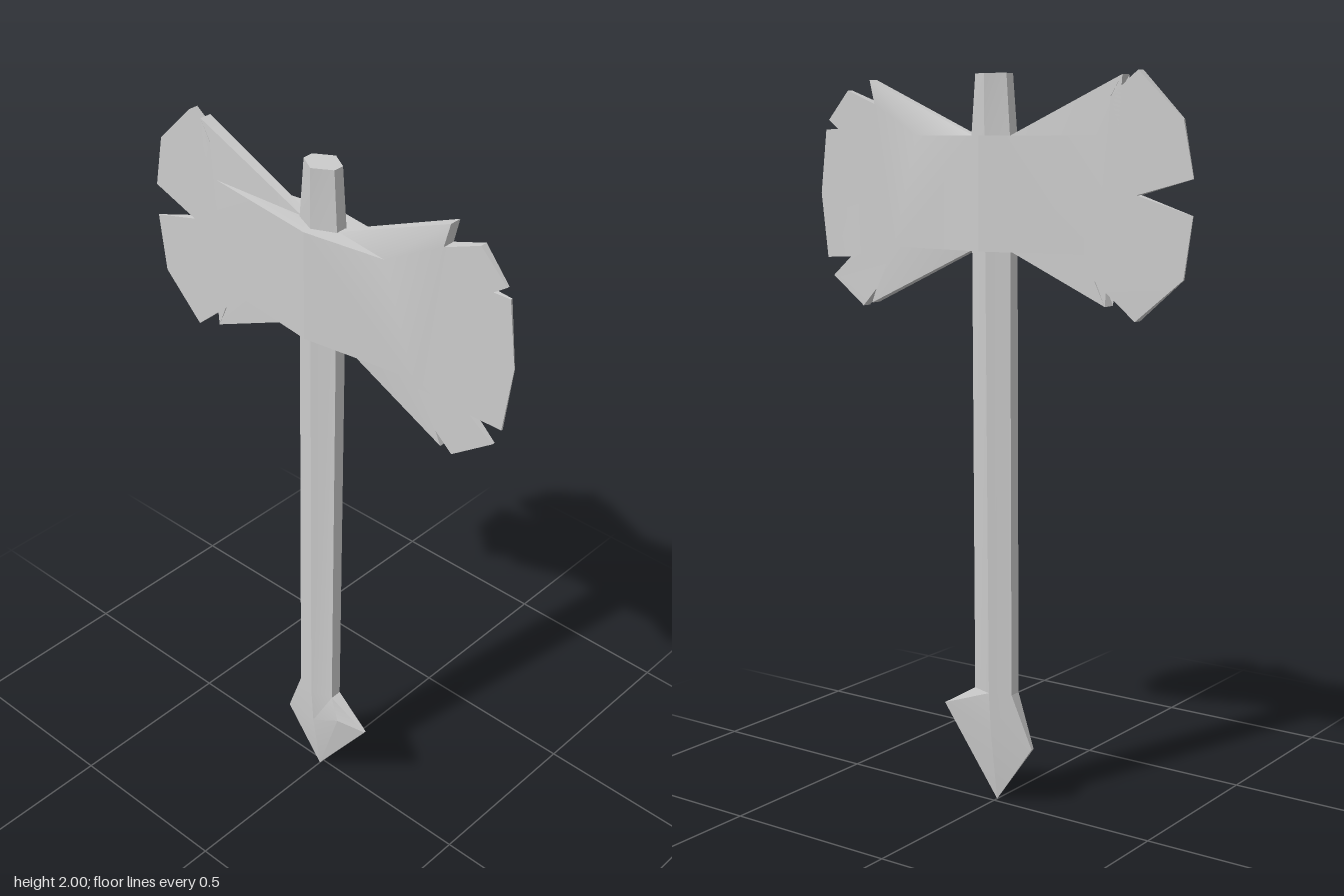
import * as THREE from 'three';
import { toCreasedNormals } from 'three/addons/utils/BufferGeometryUtils.js';

const TOP = 1.84, BOTTOM = 1.54;

function makeMesh(name, triangles, crease) {
  const geometry = new THREE.BufferGeometry();
  geometry.setAttribute('position', new THREE.Float32BufferAttribute(triangles.flat(2), 3));
  const mesh = new THREE.Mesh(
    toCreasedNormals(geometry, crease),
    new THREE.MeshStandardMaterial({ color: 0xcccccc, side: THREE.DoubleSide })
  );
  mesh.name = name;
  return mesh;
}

// Blade half-thickness: wedge from the centre ridge to the cutting edge
const thickness = (x) => (x < 0.35 ? 0.07 - 0.14 * x : 0.001 + 0.08 * (0.6 - x));

// One blade: edge runs from the upper wing tip to the lower one; side is +1 or -1
function makeBlade(name, side, edge, bandTop, bandBottom) {
  const tris = [];
  const add = (a, b, c, back = 1) => {
    const t = [a, b, c].map(([x, y, z]) => [x * side, y, z * back]);
    tris.push(side * back < 0 ? t.reverse() : t);
  };
  const at = ([x, y]) => [x, y, thickness(x)];
  const outline = [[0, BOTTOM], [0, TOP], [bandTop, TOP], ...edge, [bandBottom, BOTTOM]];
  const contour = outline.map(([x, y]) => new THREE.Vector2(x, y));
  const faces = THREE.ShapeUtils.triangulateShape(contour, []);
  const tips = [at(edge[0]), at(edge[edge.length - 1])];
  const roots = [[0.06, TOP, 0.012], [0.06, BOTTOM, 0.012]];

  for (const back of [1, -1]) {
    // Broad cheek
    for (const face of faces) {
      const [a, b, c] = face.map((i) => contour[i]);
      const area = (b.x - a.x) * (c.y - a.y) - (b.y - a.y) * (c.x - a.x);
      const p = face.map((i) => at(outline[i]));
      if (area < 0) p.reverse();
      add(...p, back);
    }
    // Sunken webs running from the band out to the wing tips
    [[TOP, bandTop], [BOTTOM, bandBottom]].forEach(([y, end], k) => {
      const A = at([0, y]), B = at([end, y]), T = tips[k], I = roots[k], C = [0, y, 0.012];
      for (const t of [[A, B, I], [B, T, I], [A, I, C]]) {
        if (k) t.reverse();
        add(...t, back);
      }
    });
  }
  // Thin rim joining both cheeks
  const rim = [roots[0], ...edge.map(at), roots[1]];
  const flip = ([x, y, z]) => [x, y, -z];
  for (let i = 0; i < rim.length - 1; i++) {
    const a = rim[i], b = rim[i + 1];
    add(a, b, flip(b));
    add(a, flip(b), flip(a));
  }
  return makeMesh(name, tris, 0.45);
}

// Handle cross-section: flattened hexagon, with one doubled corner for the barb notch
function section(y, w, depth, flat, zc) {
  return [
    [w, y, zc + flat], [w, y, zc + flat], [0, y, zc + depth], [-w, y, zc + flat],
    [-w, y, zc - flat], [0, y, zc - depth], [w, y, zc - flat]
  ];
}

function makeHandle() {
  const rings = [
    section(2, 0.05, 0.045, 0.015, 0),
    section(TOP, 0.062, 0.045, 0.017, 0.001),
    section(0.32, 0.062, 0.038, 0.017, 0.013),
    // Spearhead shoulders, with the barb on the left
    [
      [0.18, 0.25, 0.018], [0.09, 0.25, 0.036], [0, 0.2, 0.043], [-0.12, 0.17, 0.02],
      [-0.12, 0.17, 0.01], [0, 0.2, -0.015], [0.18, 0.25, 0.012]
    ],
    Array(7).fill([0, 0, 0.015])
  ];
  const tris = [];
  for (let r = 0; r < rings.length - 1; r++) {
    const a = rings[r], b = rings[r + 1];
    for (let i = 0; i < 7; i++) {
      const j = (i + 1) % 7;
      tris.push([a[i], a[j], b[j]], [a[i], b[j], b[i]]);
    }
  }
  for (let i = 1; i < 6; i++) tris.push([rings[0][0], rings[0][i + 1], rings[0][i]]);
  return makeMesh('handle', tris, 0.3);
}

export function createModel() {
  const group = new THREE.Group();
  group.name = 'doubleAxe';
  group.add(makeHandle());

  // Left blade: chipped corners around one long edge
  group.add(makeBlade('leftBlade', 1, [
    [0.407, 1.99], [0.39, 1.925], [0.49, 1.963], [0.566, 1.883], [0.53, 1.858],
    [0.577, 1.857], [0.6, 1.68], [0.577, 1.5], [0.487, 1.505], [0.555, 1.45],
    [0.44, 1.37], [0.39, 1.42], [0.407, 1.38]
  ], 0.23, 0.32));

  // Right blade: split by a deep notch
  group.add(makeBlade('rightBlade', -1, [
    [0.402, 1.99], [0.37, 1.937], [0.445, 2], [0.57, 1.88], [0.6, 1.735], [0.445, 1.693],
    [0.6, 1.645], [0.577, 1.487], [0.445, 1.376], [0.33, 1.475], [0.36, 1.41]
  ], 0.35, 0.35));

  return group;
}
